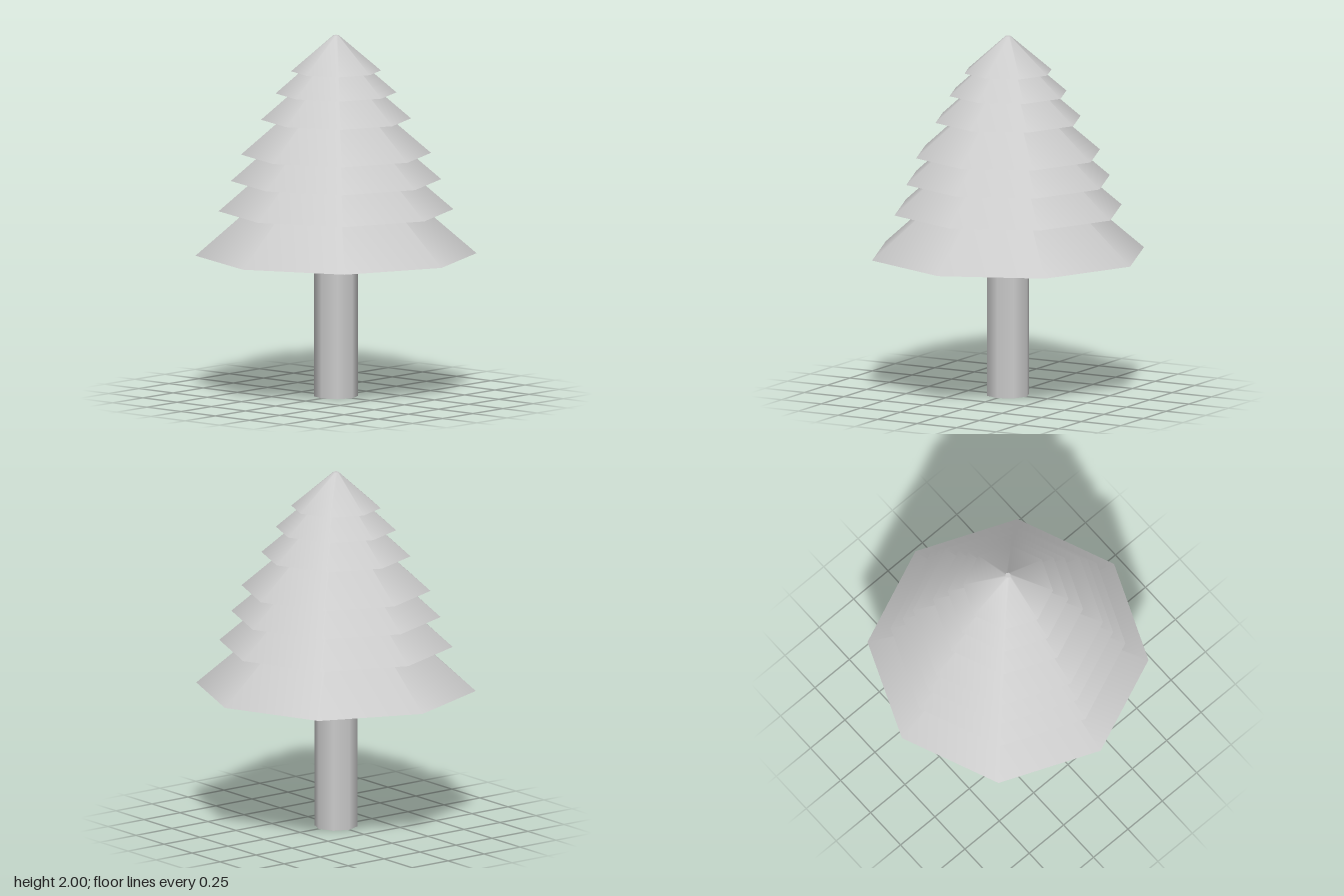
import * as THREE from 'three';

const SIDES = 8;
const TIP_RADIUS = 0.015;
const SLOPE = 1.155; // radius gained per unit of drop

// Bottom height and rim radius of each branch tier, lowest first
const TIERS = [
  [0.785, 0.772],
  [1.03, 0.645],
  [1.197, 0.578],
  [1.343, 0.522],
  [1.535, 0.412],
  [1.68, 0.332],
  [1.802, 0.247],
];

export function createModel() {
  const tree = new THREE.Group();
  tree.name = 'pineTree';
  const material = new THREE.MeshStandardMaterial({ color: 0xcccccc });

  // Upright eight-sided frustum spanning two heights
  const addFrustum = (name, topRadius, bottomRadius, bottom, top) => {
    const geometry = new THREE.CylinderGeometry(topRadius, bottomRadius, top - bottom, SIDES);
    const mesh = new THREE.Mesh(geometry, material);
    mesh.name = name;
    mesh.position.y = (bottom + top) / 2;
    tree.add(mesh);
  };

  // Trunk, running a little way into the lowest tier
  addFrustum('trunk', 0.12, 0.12, 0, 0.82);

  // Stacked cones, each with its tip hidden inside the tiers above
  TIERS.forEach(([bottom, radius], i) => {
    const top = Math.min(2, bottom + (radius - TIP_RADIUS) / SLOPE);
    addFrustum(`branchTier${i + 1}`, TIP_RADIUS, radius, bottom, i === TIERS.length - 1 ? 2 : top);
  });

  return tree;
}
